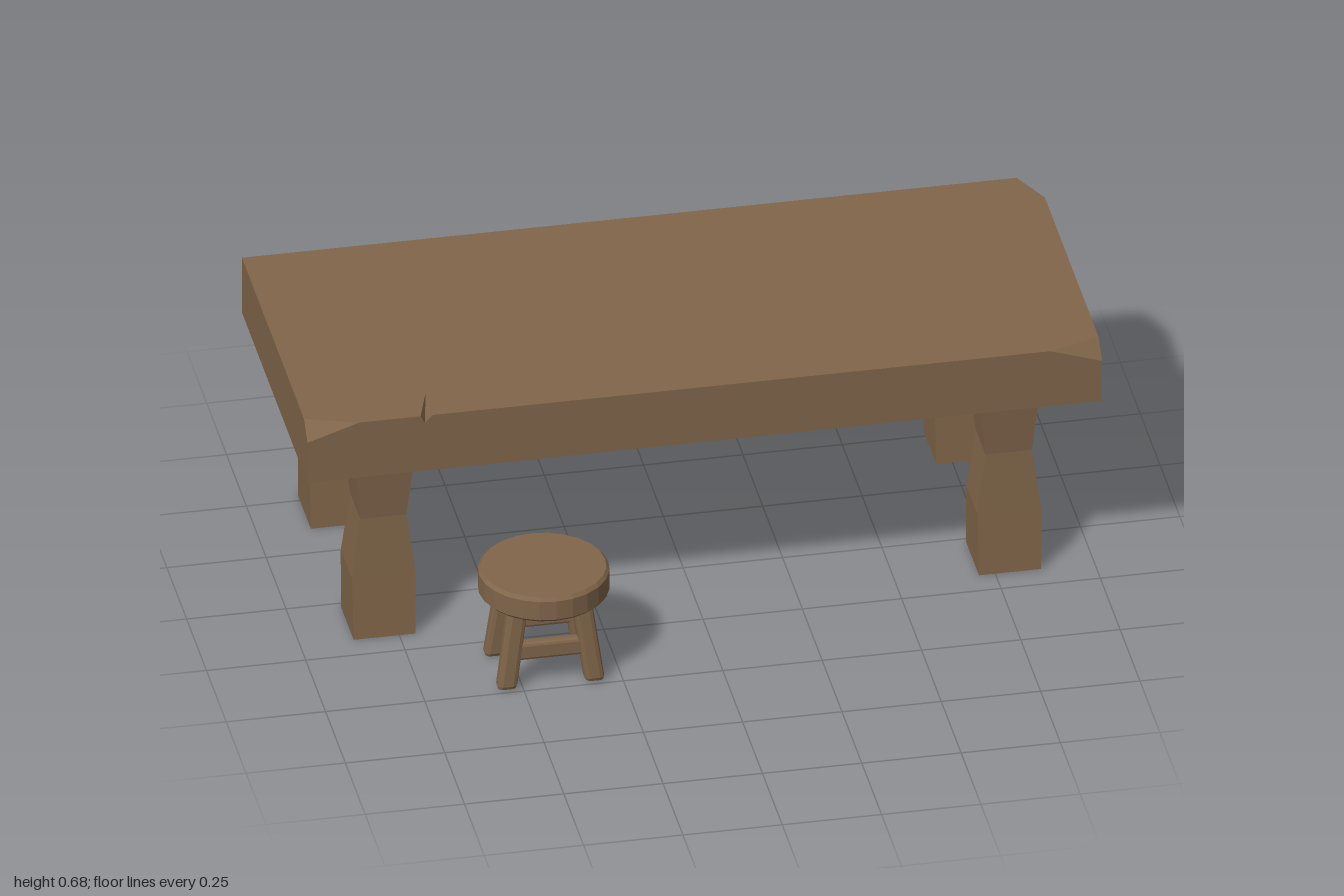
import * as THREE from 'three';
import { RoundedBoxGeometry } from 'three/addons/geometries/RoundedBoxGeometry.js';

const wood = new THREE.MeshStandardMaterial({ color: 0x80654a, flatShading: true });

function add(parent, name, geometry, x = 0, y = 0, z = 0) {
  const mesh = new THREE.Mesh(geometry, wood);
  mesh.name = name;
  mesh.position.set(x, y, z);
  parent.add(mesh);
  return mesh;
}

// Flat polygons (corners anticlockwise from outside, may be concave) to a geometry
function polygons(faces) {
  const out = [];
  for (const face of faces) {
    const pts = face.map((p) => new THREE.Vector3(...p));
    const n = new THREE.Vector3();
    pts.forEach((p, i) => n.add(p.clone().cross(pts[(i + 1) % pts.length])));
    const a = n.toArray().map(Math.abs);
    const drop = a.indexOf(Math.max(...a));
    const [u, v] = [0, 1, 2].filter((k) => k !== drop);
    const flat = face.map((p) => new THREE.Vector2(p[u], p[v]));
    for (const [i, j, k] of THREE.ShapeUtils.triangulateShape(flat, [])) {
      const c = pts[j].clone().sub(pts[i]).cross(pts[k].clone().sub(pts[i]));
      const order = c.dot(n) > 0 ? [i, j, k] : [i, k, j];
      order.forEach((m) => out.push(...face[m]));
    }
  }
  const g = new THREE.BufferGeometry();
  g.setAttribute('position', new THREE.Float32BufferAttribute(out, 3));
  g.computeVertexNormals();
  return g;
}

// Thick slab with three chipped corners and a small split in the front edge
function slabGeometry() {
  const T = 0.683, B = 0.525, F = 0.272, K = -0.556;
  const b0 = [-1, B, F], b1 = [1, B, F], b2 = [1, B, K], b3 = [-1, B, K];
  const p0 = [-1, T, 0.228], p1 = [-0.87, T, F], p2 = [-1, 0.64, F];
  const q0 = [0.87, T, F], q1 = [1, T, 0.228], q2 = [1, 0.64, F];
  const r0 = [1, T, -0.45], r1 = [0.95, T, K], r2 = [1, 0.635, K];
  const s = [-1, T, K];
  const nl = [-0.715, T, F], nr = [-0.685, T, F], nd = [-0.705, 0.662, F], nt = [-0.68, T, 0.16];
  return polygons([
    [b0, b1, q2, q0, nr, nd, nl, p1, p2],
    [b1, b2, r2, r0, q1, q2],
    [b2, b3, s, r1, r2],
    [b3, b0, p2, p0, s],
    [p1, nl, nt, nr, q0, q1, r0, r1, s, p0],
    [b0, b3, b2, b1],
    [p2, p1, p0], [q0, q2, q1], [r0, r2, r1],
    [nd, nr, nt], [nl, nd, nt],
  ]);
}

// Square leg with a pinched waist: rows of [height, half width, half depth]
function tableLegGeometry() {
  const rows = [[0, 0.078, 0.0815], [0.17, 0.08, 0.072], [0.335, 0.058, 0.063], [0.527, 0.0775, 0.0815]];
  const g = new THREE.BoxGeometry(1, 1, 1, 1, 3, 1);
  const p = g.attributes.position;
  for (let i = 0; i < p.count; i++) {
    const [y, w, d] = rows[Math.round((p.getY(i) + 0.5) * 3)];
    p.setXYZ(i, Math.sign(p.getX(i)) * w, y, Math.sign(p.getZ(i)) * d);
  }
  g.computeVertexNormals();
  return g;
}

// Chamfered stool leg, sheared outwards towards the foot
function stoolLegGeometry(sx, sz) {
  const h = 0.225;
  const g = new RoundedBoxGeometry(0.05, h, 0.042, 1, 0.012);
  const p = g.attributes.position;
  for (let i = 0; i < p.count; i++) {
    const t = 0.5 - p.getY(i) / h;
    p.setX(i, p.getX(i) + sx * (0.08 + 0.031 * t));
    p.setZ(i, p.getZ(i) + sz * (0.07 + 0.012 * t));
  }
  g.computeVertexNormals();
  return g;
}

export function createModel() {
  const model = new THREE.Group();
  model.name = 'tableAndStool';

  // Table
  const table = new THREE.Group();
  table.name = 'table';
  model.add(table);
  add(table, 'tableTop', slabGeometry());
  const legGeometry = tableLegGeometry();
  for (const [side, x] of [['Left', 0.787], ['Right', -0.787]]) {
    add(table, 'frontLeg' + side, legGeometry, x, 0, 0.0965);
    add(table, 'backLeg' + side, legGeometry, x, 0, -0.444);
  }

  // Stool
  const stool = new THREE.Group();
  stool.name = 'stool';
  stool.position.set(-0.43, 0, 0.395);
  model.add(stool);
  const profile = [[0, 0.224], [0.155, 0.224], [0.163, 0.232], [0.163, 0.284], [0.155, 0.293], [0, 0.293]];
  add(stool, 'stoolSeat', new THREE.LatheGeometry(profile.map((p) => new THREE.Vector2(...p)), 24));
  for (const sz of [1, -1]) {
    const end = sz > 0 ? 'Front' : 'Back';
    for (const sx of [1, -1]) {
      add(stool, 'stoolLeg' + end + (sx > 0 ? 'Left' : 'Right'), stoolLegGeometry(sx, sz), 0, 0.1145, 0);
    }
    // Crossbar between each pair of legs
    add(stool, 'stoolCrossbar' + end, new RoundedBoxGeometry(0.18, 0.048, 0.03, 1, 0.008), 0, 0.102, sz * 0.076);
  }
  return model;
}
